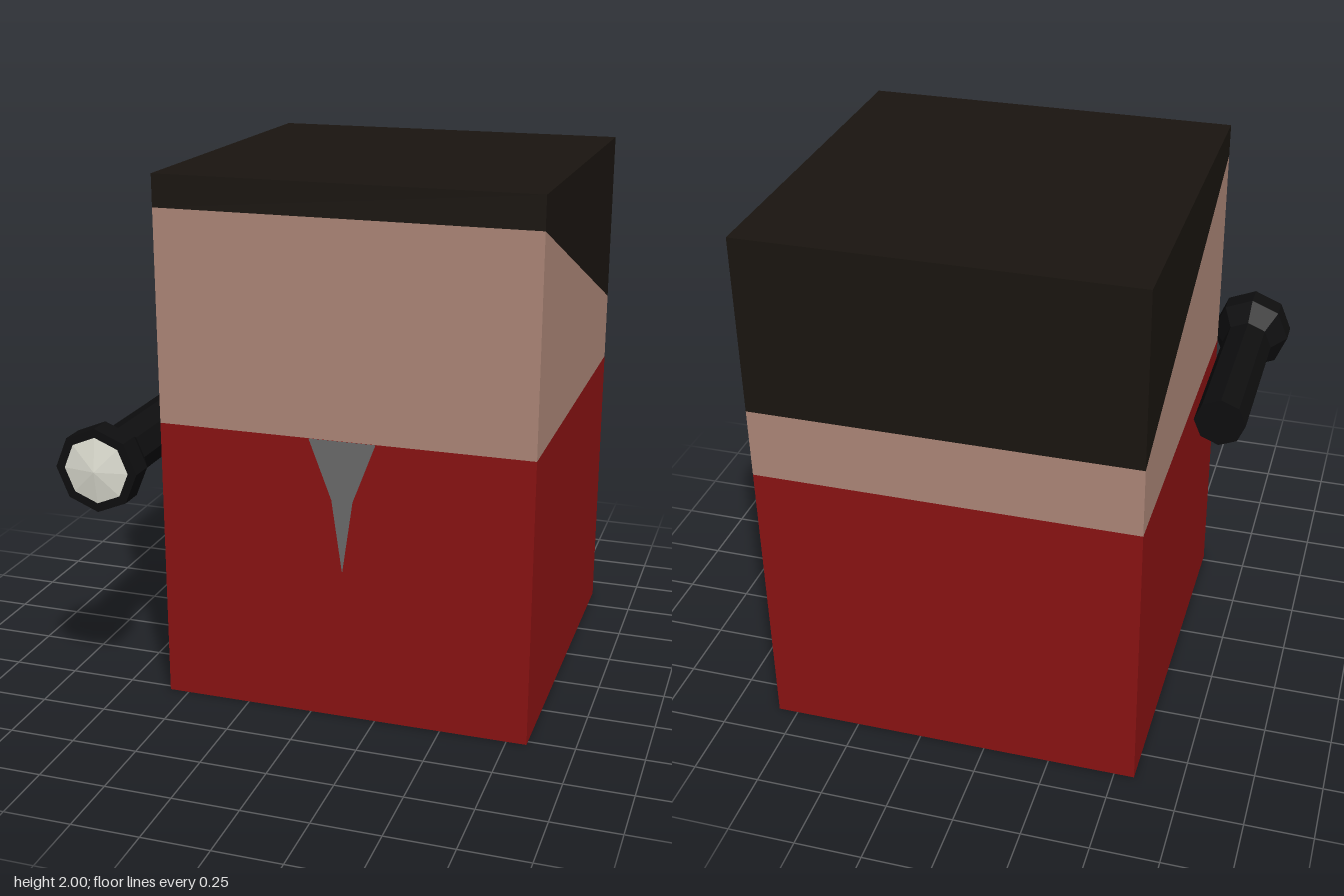
import * as THREE from 'three';

const LEFT = 0.825, RIGHT = -0.575, FRONT = 0.525, BACK = -0.875;
const SHIRT_TOP = 1.085, HAIR_FRONT = 1.88, HAIR_BACK = 1.345, TOP = 2;

function part(name, geometry, color, side = THREE.FrontSide) {
  const material = new THREE.MeshStandardMaterial({ color, flatShading: true, side });
  const mesh = new THREE.Mesh(geometry, material);
  mesh.name = name;
  return mesh;
}

const shapeOf = (points) => new THREE.Shape(points.map(([a, b]) => new THREE.Vector2(a, b)));

// Side profile of [z, y] points, extruded across the width of the block
function block(points) {
  const geometry = new THREE.ExtrudeGeometry(shapeOf(points), { depth: LEFT - RIGHT, bevelEnabled: false });
  return geometry.rotateY(-Math.PI / 2).translate(LEFT, 0, 0);
}

// Eight-sided turned part along z from [radius, z] points
function turned(points) {
  return new THREE.LatheGeometry(points.map(([r, z]) => new THREE.Vector2(r, z)), 8).rotateX(Math.PI / 2);
}

export function createModel() {
  const model = new THREE.Group();
  model.name = 'blockFigure';

  // Stacked block: shirt, face and slanted hair
  model.add(part('shirt', block([[BACK, 0], [FRONT, 0], [FRONT, SHIRT_TOP], [BACK, SHIRT_TOP]]), 0x8c1313));
  model.add(part('face', block([[BACK, SHIRT_TOP], [FRONT, SHIRT_TOP], [FRONT, HAIR_FRONT], [BACK, HAIR_BACK]]), 0xb0897a));
  model.add(part('hair', block([[BACK, HAIR_BACK], [FRONT, HAIR_FRONT], [FRONT, TOP], [BACK, TOP]]), 0x1a1510));

  // Thin undershirt wedge at the open collar
  const collar = new THREE.ShapeGeometry(shapeOf([
    [0, SHIRT_TOP], [0.085, 0.86], [0.125, 0.58], [0.165, 0.86], [0.25, SHIRT_TOP],
  ])).translate(0, 0, FRONT + 0.002);
  model.add(part('undershirt', collar, 0x6c6c6c, THREE.DoubleSide));

  // Flashlight at the right side, pointing forward
  const flashlight = new THREE.Group();
  flashlight.name = 'flashlight';
  flashlight.add(part('flashlightBody', turned([
    [0, 0.035], [0.1, 0.035], [0.1, 0.67], [0.155, 0.765], [0.155, 0.855], [0.122, 0.855],
  ]), 0x0e0e0f));
  flashlight.add(part('flashlightLens', turned([[0.122, 0.855], [0, 0.875]]), 0xe0e0d4));
  flashlight.position.set(-0.675, 1, 0);
  model.add(flashlight);

  return model;
}
